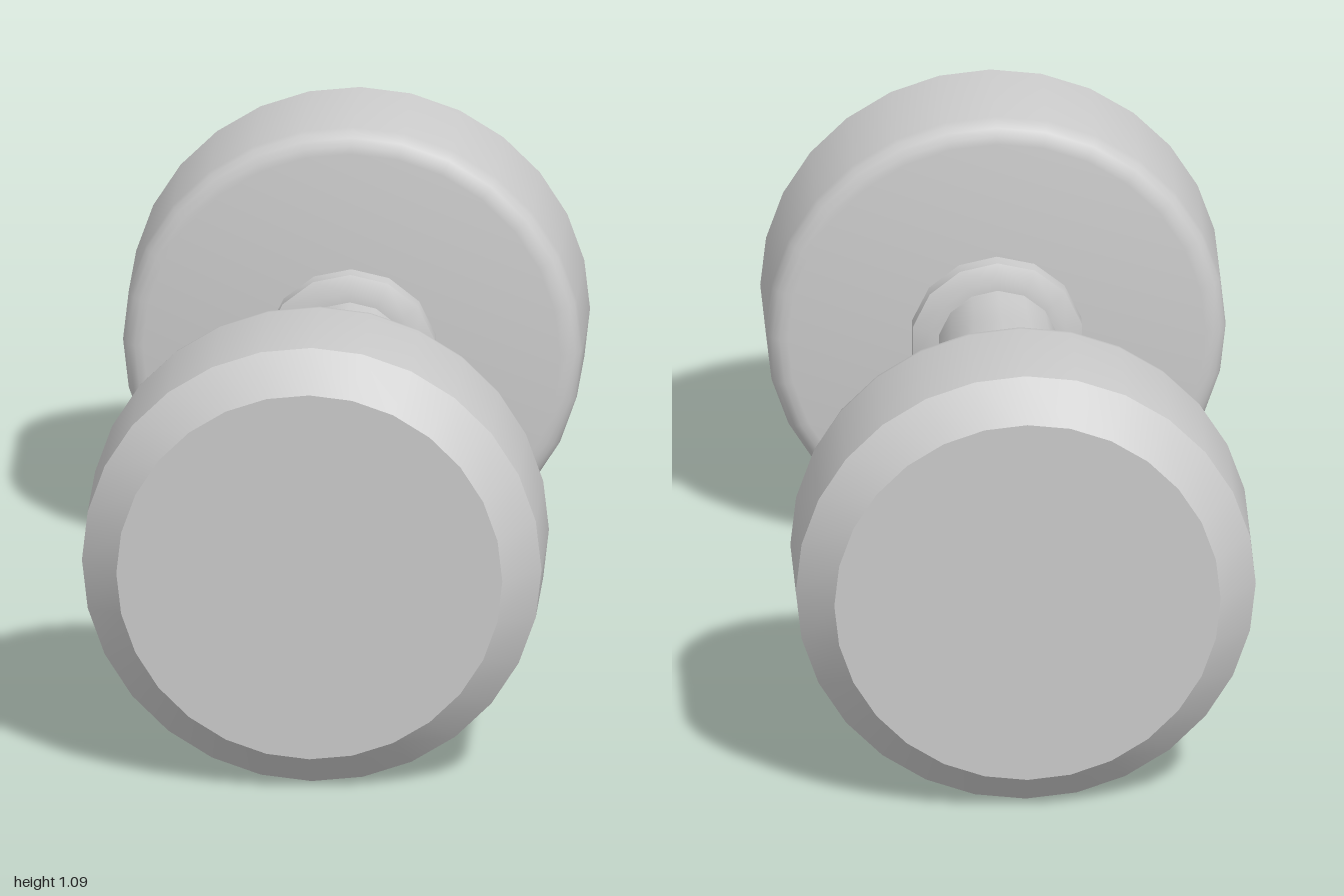
import * as THREE from 'three';
import { toCreasedNormals } from 'three/addons/utils/BufferGeometryUtils.js';

const material = new THREE.MeshStandardMaterial({ color: 0xcccccc });
const CENTRE_Y = 0.546;

// Revolve a profile of [radius, z] points (z ascending) around the z axis.
function turned(name, profile, sides) {
  const points = profile.map(([r, z]) => new THREE.Vector2(r, z));
  const geometry = new THREE.LatheGeometry(points, sides).rotateX(Math.PI / 2);
  const mesh = new THREE.Mesh(toCreasedNormals(geometry, THREE.MathUtils.degToRad(32)), material);
  mesh.name = name;
  return mesh;
}

// One end: weight with rounded inner rim and chamfered outer rim, plus collar
function createEnd(name) {
  const end = new THREE.Group();
  end.name = name;

  const R = 0.544, inner = 0.58, round = 0.05;
  const profile = [[0, inner]];
  for (let i = 0; i <= 4; i++) {
    const a = (i / 4) * Math.PI / 2;
    profile.push([R - round + round * Math.sin(a), inner + round - round * Math.cos(a)]);
  }
  profile.push([R, 0.91], [0.457, 1], [0, 1]);
  end.add(turned('weight', profile, 28));

  end.add(turned('collar', [[0.13, 0.52], [0.165, 0.52], [0.205, 0.54], [0.205, 0.585]], 14));
  return end;
}

export function createModel() {
  const model = new THREE.Group();
  model.name = 'dumbbell';

  // Grip, swelling gently towards the middle
  const curve = new THREE.SplineCurve([
    [0.143, -0.53], [0.147, -0.4], [0.167, -0.2], [0.177, 0],
    [0.167, 0.2], [0.147, 0.4], [0.143, 0.53],
  ].map(([r, z]) => new THREE.Vector2(r, z)));
  model.add(turned('handle', curve.getPoints(24).map((p) => [p.x, p.y]), 14));

  // Matching ends
  const front = createEnd('frontEnd');
  const back = createEnd('backEnd');
  back.rotation.y = Math.PI;
  model.add(front, back);

  model.children.forEach((part) => { part.position.y = CENTRE_Y; });
  return model;
}
